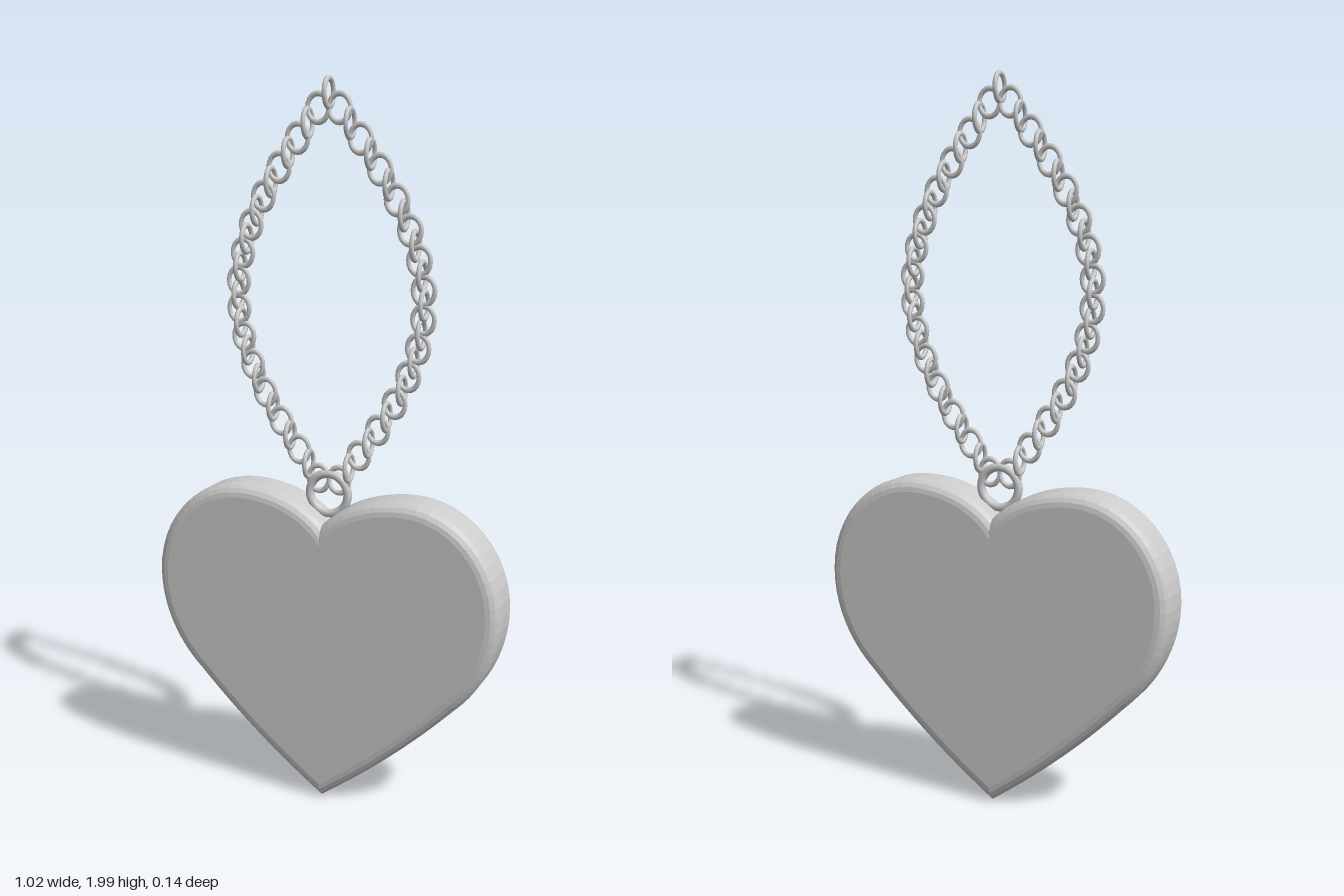
import * as THREE from 'three';

export function createModel() {
  const group = new THREE.Group();
  const material = new THREE.MeshStandardMaterial({ color: 0xcccccc });
  const add = (parent, name, geometry, x = 0, y = 0, z = 0) => {
    const mesh = new THREE.Mesh(geometry, material);
    mesh.name = name;
    mesh.position.set(x, y, z);
    parent.add(mesh);
    return mesh;
  };

  // Heart pendant: rounded slab, the bevel grows outward from this outline
  const bevel = 0.035;
  const outline = new THREE.Shape();
  outline.moveTo(0, 0.765);
  outline.bezierCurveTo(0.04, 0.83, 0.13, 0.875, 0.24, 0.875);
  outline.bezierCurveTo(0.37, 0.875, 0.475, 0.76, 0.475, 0.62);
  outline.bezierCurveTo(0.475, 0.5, 0.41, 0.41, 0.36, 0.365);
  outline.bezierCurveTo(0.24, 0.24, 0.12, 0.14, 0, 0.055);
  outline.bezierCurveTo(-0.12, 0.14, -0.24, 0.24, -0.36, 0.365);
  outline.bezierCurveTo(-0.41, 0.41, -0.475, 0.5, -0.475, 0.62);
  outline.bezierCurveTo(-0.475, 0.76, -0.37, 0.875, -0.24, 0.875);
  outline.bezierCurveTo(-0.13, 0.875, -0.04, 0.83, 0, 0.765);
  const heart = new THREE.ExtrudeGeometry(outline, {
    depth: 0.07, bevelThickness: bevel, bevelSize: bevel, bevelSegments: 4, curveSegments: 12,
  });
  add(group, 'heartPendant', heart, 0, 0, -0.035);

  // Ring joining the pendant to the chain
  add(group, 'pendantRing', new THREE.TorusGeometry(0.056, 0.012, 12, 32), 0, 0.897, 0);

  // Chain: upright oval links, every other one turned a quarter, along a lens-shaped loop
  const chain = new THREE.Group();
  chain.name = 'chain';
  group.add(chain);
  const link = new THREE.TorusGeometry(0.03, 0.0065, 8, 20).scale(1, 1.2, 1);
  const steps = 28;
  for (let i = 0; i < steps; i++) {
    const t = i / steps;
    const x = 0.267 * Math.sin(Math.PI * t);
    const y = 1.956 - 1.056 * t;
    for (const side of i === 0 ? [1] : [1, -1]) {
      const mesh = add(chain, 'chainLink', link, side * x, y, 0);
      if (i % 2 === 0) mesh.rotation.y = Math.PI / 2;
    }
  }
  return group;
}
